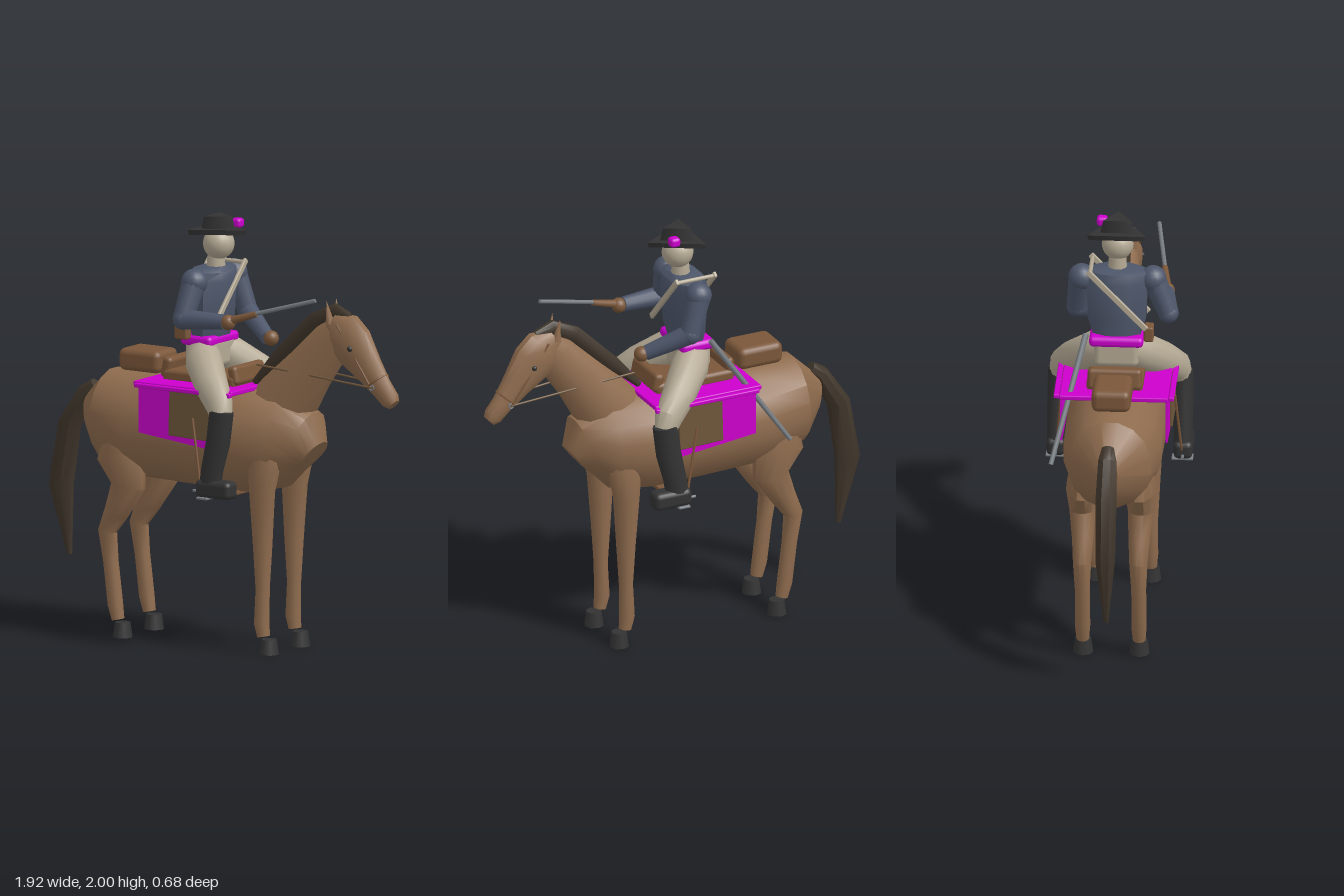
import * as THREE from 'three';
import { toCreasedNormals } from 'three/addons/utils/BufferGeometryUtils.js';
import { RoundedBoxGeometry } from 'three/addons/geometries/RoundedBoxGeometry.js';

const V = (p) => new THREE.Vector3(...p);

function material(name, color) {
  const m = new THREE.MeshStandardMaterial({ color });
  m.name = name;
  return m;
}

// Lofted tube through elliptical sections [x, y, z, radius in the xy plane, radius across]
function loft(sections, sides = 12) {
  const pos = [], idx = [], n = sections.length;
  const centres = sections.map((s) => V(s.slice(0, 3)));
  sections.forEach((s, i) => {
    const t = centres[Math.min(i + 1, n - 1)].clone().sub(centres[Math.max(i - 1, 0)]).normalize();
    const u = new THREE.Vector3(0, 0, 1).addScaledVector(t, -t.z).normalize();
    const v = t.clone().cross(u);
    for (let j = 0; j < sides; j++) {
      const a = ((j + 0.5) / sides) * Math.PI * 2;
      const p = centres[i].clone().addScaledVector(u, Math.cos(a) * s[4]).addScaledVector(v, Math.sin(a) * s[3]);
      pos.push(p.x, p.y, p.z);
    }
  });
  const first = n * sides, last = first + 1;
  pos.push(...centres[0].toArray(), ...centres[n - 1].toArray());
  for (let j = 0; j < sides; j++) {
    const k = (j + 1) % sides, e = (n - 1) * sides;
    for (let i = 0; i < n - 1; i++) {
      const a = i * sides + j, b = i * sides + k;
      idx.push(a, b, b + sides, a, b + sides, a + sides);
    }
    idx.push(first, k, j, last, e + j, e + k);
  }
  const g = new THREE.BufferGeometry();
  g.setAttribute('position', new THREE.Float32BufferAttribute(pos, 3));
  g.setIndex(idx);
  return toCreasedNormals(g, 0.7);
}

// Straight rod from a to b
function rod(a, b, ra, rb = ra, sides = 8) {
  const d = V(b).sub(V(a));
  const g = new THREE.CylinderGeometry(rb, ra, d.length(), sides);
  g.applyQuaternion(new THREE.Quaternion().setFromUnitVectors(new THREE.Vector3(0, 1, 0), d.clone().normalize()));
  const m = V(a).addScaledVector(d, 0.5);
  return g.translate(m.x, m.y, m.z);
}

const box = (w, h, d, r = 0.01) => new RoundedBoxGeometry(w, h, d, 2, r);
const ball = (r) => new THREE.SphereGeometry(r, 16, 12);

export function createModel() {
  const coatBrown = material('horseBrown', 0x8f6c4e);
  const hair = material('darkHair', 0x40362b);
  const leather = material('leather', 0x7b573a);
  const flapBrown = material('flapLeather', 0x6f563c);
  const black = material('blackLeather', 0x333333);
  const magenta = material('magentaCloth', 0xcc00cc);
  const blue = material('blueCloth', 0x4d566a);
  const cream = material('creamCloth', 0xb3a893);
  const steel = material('steel', 0x757b80);

  const model = new THREE.Group();
  const horse = new THREE.Group(), tack = new THREE.Group(), rider = new THREE.Group();
  horse.name = 'horse';
  tack.name = 'tack';
  rider.name = 'rider';
  model.add(horse, tack, rider);
  function add(parent, name, geo, mat, p = [0, 0, 0], r = [0, 0, 0]) {
    const m = new THREE.Mesh(geo, mat);
    m.name = name;
    m.position.set(...p);
    m.rotation.set(...r);
    parent.add(m);
    return m;
  }

  // Horse body, neck and head
  add(horse, 'body', loft([
    [-0.745, 1.0, 0, 0.09, 0.05], [-0.62, 1.015, 0, 0.215, 0.195], [-0.42, 0.985, 0, 0.245, 0.228],
    [-0.1, 0.98, 0, 0.25, 0.232], [0.15, 0.975, 0, 0.252, 0.222], [0.35, 0.985, 0, 0.225, 0.2],
    [0.45, 0.97, 0, 0.17, 0.14], [0.5, 0.93, 0, 0.08, 0.08]], 16), coatBrown);
  add(horse, 'neck', loft([
    [0.24, 1.02, 0, 0.17, 0.13], [0.35, 1.17, 0, 0.155, 0.11], [0.48, 1.33, 0, 0.12, 0.075],
    [0.6, 1.47, 0, 0.1, 0.06], [0.66, 1.54, 0, 0.07, 0.045]]), coatBrown);
  add(horse, 'head', loft([
    [0.6, 1.56, 0, 0.06, 0.04], [0.655, 1.515, 0, 0.112, 0.062], [0.715, 1.46, 0, 0.11, 0.067],
    [0.8, 1.36, 0, 0.077, 0.053], [0.87, 1.28, 0, 0.055, 0.043], [0.92, 1.225, 0, 0.047, 0.042],
    [0.94, 1.205, 0, 0.03, 0.03]]), coatBrown);
  add(horse, 'mane', loft([
    [0.17, 1.235, 0, 0.015, 0.015], [0.3, 1.365, 0, 0.035, 0.022], [0.5, 1.555, 0, 0.04, 0.025],
    [0.62, 1.61, 0, 0.04, 0.025], [0.7, 1.59, 0, 0.02, 0.018]], 8), hair);
  add(horse, 'tail', loft([
    [-0.71, 1.14, 0, 0.03, 0.03], [-0.76, 1.1, 0, 0.042, 0.045], [-0.855, 0.94, 0, 0.055, 0.052],
    [-0.902, 0.655, 0, 0.062, 0.047], [-0.855, 0.33, 0, 0.012, 0.012]], 8), hair);

  for (const s of [1, -1]) {
    // Legs, hooves, ears and eyes
    add(horse, 'hindLeg', loft([
      [-0.48, 0.95, s * 0.12, 0.1, 0.07], [-0.48, 0.84, s * 0.135, 0.125, 0.075],
      [-0.44, 0.71, s * 0.135, 0.088, 0.062], [-0.51, 0.58, s * 0.13, 0.06, 0.05],
      [-0.558, 0.49, s * 0.13, 0.046, 0.043], [-0.54, 0.35, s * 0.13, 0.037, 0.035],
      [-0.515, 0.15, s * 0.13, 0.037, 0.036], [-0.5, 0.08, s * 0.13, 0.03, 0.03]]), coatBrown);
    add(horse, 'frontLeg', loft([
      [0.31, 0.98, s * 0.12, 0.08, 0.055], [0.31, 0.88, s * 0.135, 0.083, 0.062],
      [0.3, 0.76, s * 0.135, 0.065, 0.055], [0.3, 0.5, s * 0.13, 0.046, 0.045],
      [0.3, 0.3, s * 0.13, 0.033, 0.034], [0.295, 0.14, s * 0.13, 0.037, 0.036],
      [0.305, 0.08, s * 0.13, 0.03, 0.03]]), coatBrown);
    for (const x of [-0.475, 0.335]) {
      add(horse, 'hoof', new THREE.CylinderGeometry(0.037, 0.047, 0.07, 8), black, [x, 0.035, s * 0.13]);
    }
    add(horse, 'ear', new THREE.ConeGeometry(0.022, 0.11, 8), coatBrown, [0.6, 1.61, s * 0.035], [s * 0.1, 0, 0.12]);
    add(horse, 'eye', ball(0.013), black, [0.737, 1.455, s * 0.062]);

    // Bridle and reins
    add(tack, 'cheekStrap', rod([0.66, 1.56, s * 0.057], [0.845, 1.285, s * 0.052], 0.005), leather);
    add(tack, 'rein', rod([0.23, 1.335, s * 0.075], [0.85, 1.283, s * 0.052], 0.005), flapBrown);
    add(tack, 'bitRing', new THREE.TorusGeometry(0.012, 0.004, 6, 12), steel, [0.85, 1.283, s * 0.052]);

    // Saddle cloth side, flap and stirrup
    const side = new THREE.Shape([[-0.31, 1.22], [-0.31, 0.99], [0.1, 0.945], [0.2, 1.22]].map((p) => new THREE.Vector2(...p)));
    add(tack, 'clothSide', new THREE.ExtrudeGeometry(side, { depth: 0.008, bevelEnabled: false }), magenta,
      [0, 0, s * 0.243 - 0.004]);
    add(tack, 'clothEdge', box(0.53, 0.02, 0.025, 0.005), magenta, [-0.05, 1.213, s * 0.265]);
    add(tack, 'saddleFlap', box(0.225, 0.22, 0.014, 0.005), flapBrown, [-0.022, 1.1, s * 0.253], [0, 0, -0.03]);
    add(tack, 'stirrupLeather', rod([0, 1.09, s * 0.262], [0.065, 0.77, s * 0.29], 0.006), leather);
    add(tack, 'stirrup', box(0.06, 0.012, 0.1, 0.005), steel, [0.1, 0.733, s * 0.29]);

    // Rider's legs
    add(rider, 'thigh', loft([
      [-0.09, 1.37, s * 0.05, 0.08, 0.07], [-0.04, 1.33, s * 0.11, 0.088, 0.085],
      [0.07, 1.24, s * 0.21, 0.08, 0.075], [0.15, 1.17, s * 0.268, 0.07, 0.06], [0.17, 1.12, s * 0.28, 0.055, 0.05]]), cream);
    add(rider, 'bootShaft', loft([
      [0.175, 1.14, s * 0.283, 0.06, 0.052], [0.16, 1.0, s * 0.288, 0.06, 0.05],
      [0.13, 0.87, s * 0.292, 0.055, 0.045], [0.115, 0.77, s * 0.292, 0.055, 0.043]]), black);
    add(rider, 'bootFoot', box(0.19, 0.085, 0.088, 0.025), black, [0.152, 0.777, s * 0.293]);
    add(rider, 'spur', rod([0.025, 0.758, s * 0.293], [0.12, 0.758, s * 0.293], 0.007), steel);
    add(rider, 'shoulder', ball(0.062), blue, [-0.055, 1.705, s * 0.165]);
  }
  const noseband = add(tack, 'noseband', new THREE.TorusGeometry(0.056, 0.005, 6, 20), leather,
    [0.85, 1.303, 0], [0, Math.PI / 2, 0]);
  noseband.rotation.set(0.87, Math.PI / 2, 0, 'YXZ');

  // Saddle, cloth top, rolls, girth
  add(tack, 'clothTop', box(0.545, 0.022, 0.5, 0.005), magenta, [-0.065, 1.217, 0]);
  add(tack, 'saddleSeat', box(0.4, 0.06, 0.26, 0.02), leather, [-0.06, 1.245, 0]);
  add(tack, 'cantle', box(0.05, 0.1, 0.25, 0.02), leather, [-0.245, 1.28, 0], [0, 0, -0.2]);
  add(tack, 'pommel', box(0.05, 0.09, 0.25, 0.02), leather, [0.125, 1.275, 0], [0, 0, 0.2]);
  add(tack, 'bedroll', box(0.225, 0.105, 0.18, 0.03), leather, [-0.42, 1.287, 0]);
  add(tack, 'girth', box(0.05, 0.02, 0.2, 0.005), leather, [0.08, 0.717, 0]);

  // Rider's torso, sash and head
  add(rider, 'hips', box(0.16, 0.14, 0.21, 0.03), cream, [-0.075, 1.36, 0]);
  add(rider, 'sash', box(0.17, 0.05, 0.25, 0.02), magenta, [-0.08, 1.42, 0]);
  add(rider, 'torso', loft([
    [-0.075, 1.44, 0, 0.08, 0.12], [-0.065, 1.52, 0, 0.092, 0.145], [-0.06, 1.7, 0, 0.1, 0.15],
    [-0.055, 1.745, 0, 0.085, 0.145], [-0.055, 1.76, 0, 0.06, 0.11]], 8), blue);
  add(rider, 'neck', new THREE.CylinderGeometry(0.038, 0.045, 0.09, 12), cream, [-0.045, 1.785, 0]);
  add(rider, 'head', ball(0.074), cream, [-0.03, 1.865, 0]);

  // Three-cornered hat with a plume
  add(rider, 'hatBrim', new THREE.CylinderGeometry(0.157, 0.15, 0.024, 3), black, [-0.032, 1.927, 0], [0, Math.PI / 2, 0]);
  add(rider, 'hatCrown', new THREE.CylinderGeometry(0.075, 0.09, 0.06, 3), black, [-0.03, 1.966, 0], [0, Math.PI / 2, 0]);
  add(rider, 'plume', box(0.05, 0.045, 0.05, 0.015), magenta, [0.025, 1.955, -0.075]);

  // Arms and hands
  const rightElbow = [-0.07, 1.54, 0.235], leftElbow = [0.0, 1.53, -0.19];
  const arms = [
    ['rightArm', [-0.055, 1.7, 0.17], rightElbow, [0.145, 1.545, 0.215]],
    ['leftArm', [-0.055, 1.7, -0.17], leftElbow, [0.18, 1.43, -0.09]]];
  for (const [name, shoulder, elbow, wrist] of arms) {
    add(rider, name + 'Upper', rod(shoulder, elbow, 0.056, 0.048, 12), blue);
    add(rider, name + 'Elbow', ball(0.049), blue, elbow);
    add(rider, name + 'Lower', rod(elbow, wrist, 0.048, 0.035, 12), blue);
    add(rider, name + 'Hand', ball(0.036), leather, [wrist[0] + 0.02, wrist[1], wrist[2]]);
  }

  // Carbine, sword, shoulder belt and pouch
  add(rider, 'gunStock', rod([0.13, 1.54, 0.222], [0.31, 1.595, 0.195], 0.022, 0.014), leather);
  add(rider, 'gunBarrel', rod([0.2, 1.567, 0.212], [0.605, 1.68, 0.15], 0.01), steel);
  add(rider, 'swordScabbard', rod([-0.13, 1.45, -0.14], [-0.47, 0.94, -0.28], 0.014, 0.011), steel);
  for (const x of [0.035, -0.16]) {
    add(rider, 'shoulderBelt', box(0.016, 0.39, 0.028, 0.005), cream, [x, 1.635, 0.005], [-0.76, 0, 0]);
  }
  add(rider, 'beltOver', rod([0.035, 1.765, -0.12], [-0.16, 1.765, -0.12], 0.01), cream);
  add(rider, 'pouch', box(0.07, 0.075, 0.045), leather, [-0.13, 1.467, 0.15]);
  return model;
}
